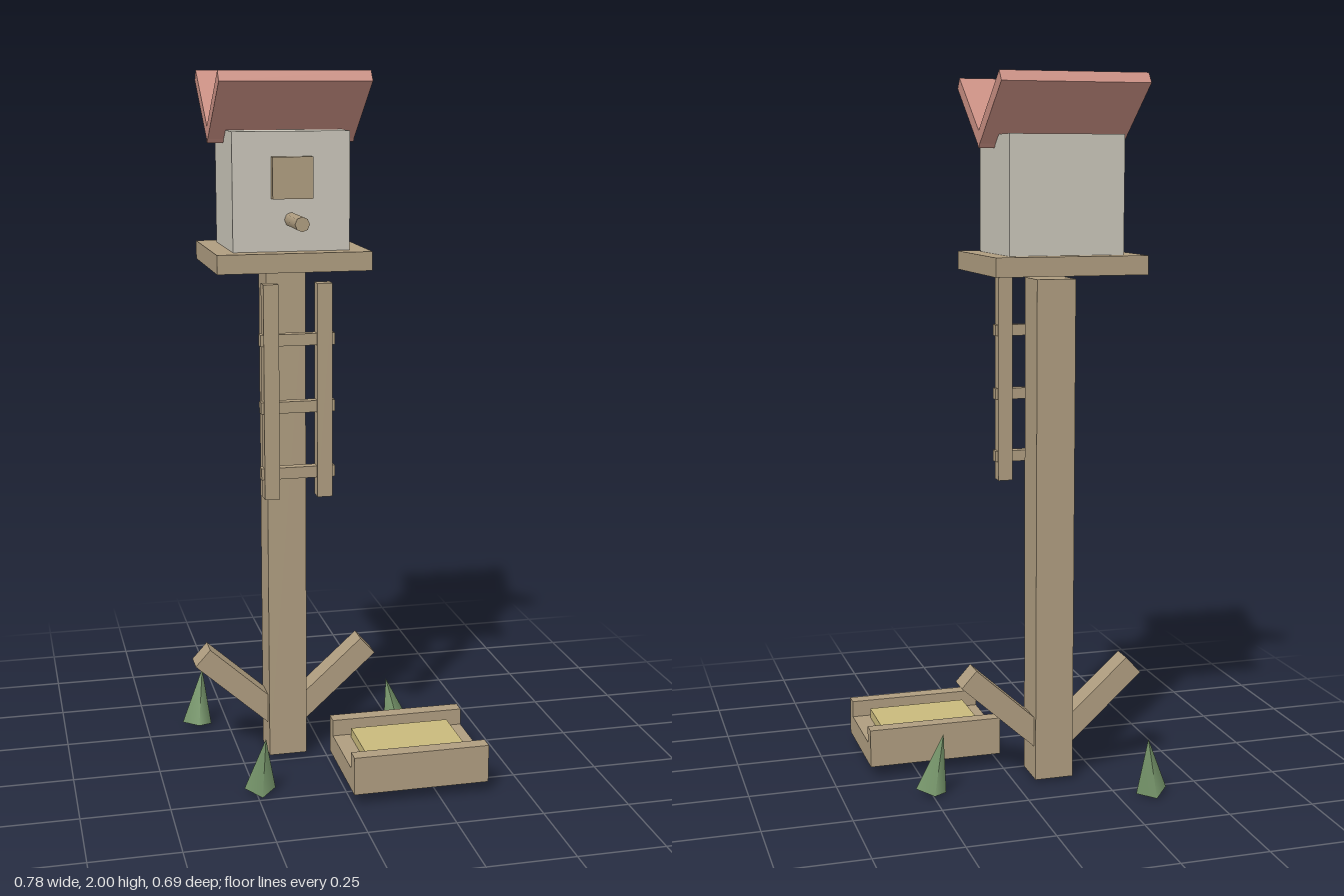
import * as THREE from 'three';

const mat = (name, color) => {
  const m = new THREE.MeshStandardMaterial({ color });
  m.name = name;
  return m;
};

export function createModel() {
  const wood = mat('wood', 0xae9c7f);
  const wall = mat('wall', 0xc8c4b8);
  const roofPink = mat('roof', 0xc98f83);
  const seed = mat('seed', 0xc8b97c);
  const green = mat('grass', 0x7a9a6e);

  const model = new THREE.Group();
  model.name = 'birdhouse';
  const CX = -0.113, CZ = -0.077; // post axis

  const add = (name, geometry, material, x, y, z) => {
    const mesh = new THREE.Mesh(geometry, material);
    mesh.name = name;
    mesh.position.set(x, y, z);
    model.add(mesh);
    return mesh;
  };
  const box = (name, material, w, h, d, x, y, z) =>
    add(name, new THREE.BoxGeometry(w, h, d), material, x, y, z);

  // Post, platform and house
  box('post', wood, 0.112, 1.44, 0.112, CX, 0.73, CZ);
  box('platform', wood, 0.428, 0.052, 0.39, CX, 1.493, CZ);
  box('house', wall, 0.324, 0.322, 0.287, CX, 1.68, CZ);
  box('door', wood, 0.112, 0.112, 0.04, CX, 1.718, 0.07);
  const perch = add('perch', new THREE.CylinderGeometry(0.02, 0.02, 0.16, 8), wood, CX, 1.605, 0.129);
  perch.rotation.x = Math.PI / 2;

  for (const s of [-1, 1]) {
    // Roof slabs meeting in a valley
    const a = 0.645, len = 0.278, t = 0.035;
    const slab = box('roofSlab', roofPink, 0.412, t, len, CX, 0, 0);
    const out = 0.219 - Math.cos(a) * len / 2 - Math.sin(a) * t / 2;
    slab.position.y = 2 - Math.sin(a) * len / 2 - Math.cos(a) * t / 2;
    slab.position.z = CZ + s * out;
    slab.rotation.x = -s * a;

    // Angled braces low on the post
    const b = 0.733, bl = 0.31;
    const brace = box('brace', wood, bl, 0.065, 0.07,
      CX + s * (0.248 - Math.cos(b) * bl / 2), 0.322 - Math.sin(b) * bl / 2, -0.08);
    brace.rotation.z = s * b;

    // Ladder rails
    box('ladderRail', wood, 0.042, 0.595, 0.038, CX + s * 0.074, 1.143, 0.13);

    // Tray lips, front and back
    box('trayLip', wood, 0.39, 0.05, 0.041, 0.196, 0.12, 0.189 + s * 0.133);
  }

  // Ladder rungs
  for (const y of [0.917, 1.102, 1.288])
    box('ladderRung', wood, 0.206, 0.032, 0.028, CX, y, 0.13);

  // Feeding tray
  box('trayBase', wood, 0.39, 0.062, 0.307, 0.196, 0.066, 0.189);
  box('seedBed', seed, 0.29, 0.03, 0.185, 0.196, 0.11, 0.189);

  // Leaning grass tufts: base x, z and tip x, z
  const tufts = [
    [-0.347, -0.302, -0.324, -0.333],
    [0.252, -0.13, 0.215, -0.13],
    [-0.238, 0.192, -0.227, 0.232],
  ];
  for (const [bx, bz, tx, tz] of tufts) {
    const base = new THREE.Vector3(bx, 0.012, bz);
    const axis = new THREE.Vector3(tx, 0.177, tz).sub(base);
    const tuft = add('grassTuft', new THREE.ConeGeometry(0.045, axis.length(), 4), green, 0, 0, 0);
    tuft.position.copy(base).addScaledVector(axis, 0.5);
    tuft.quaternion.setFromUnitVectors(new THREE.Vector3(0, 1, 0), axis.normalize());
  }

  return model;
}
